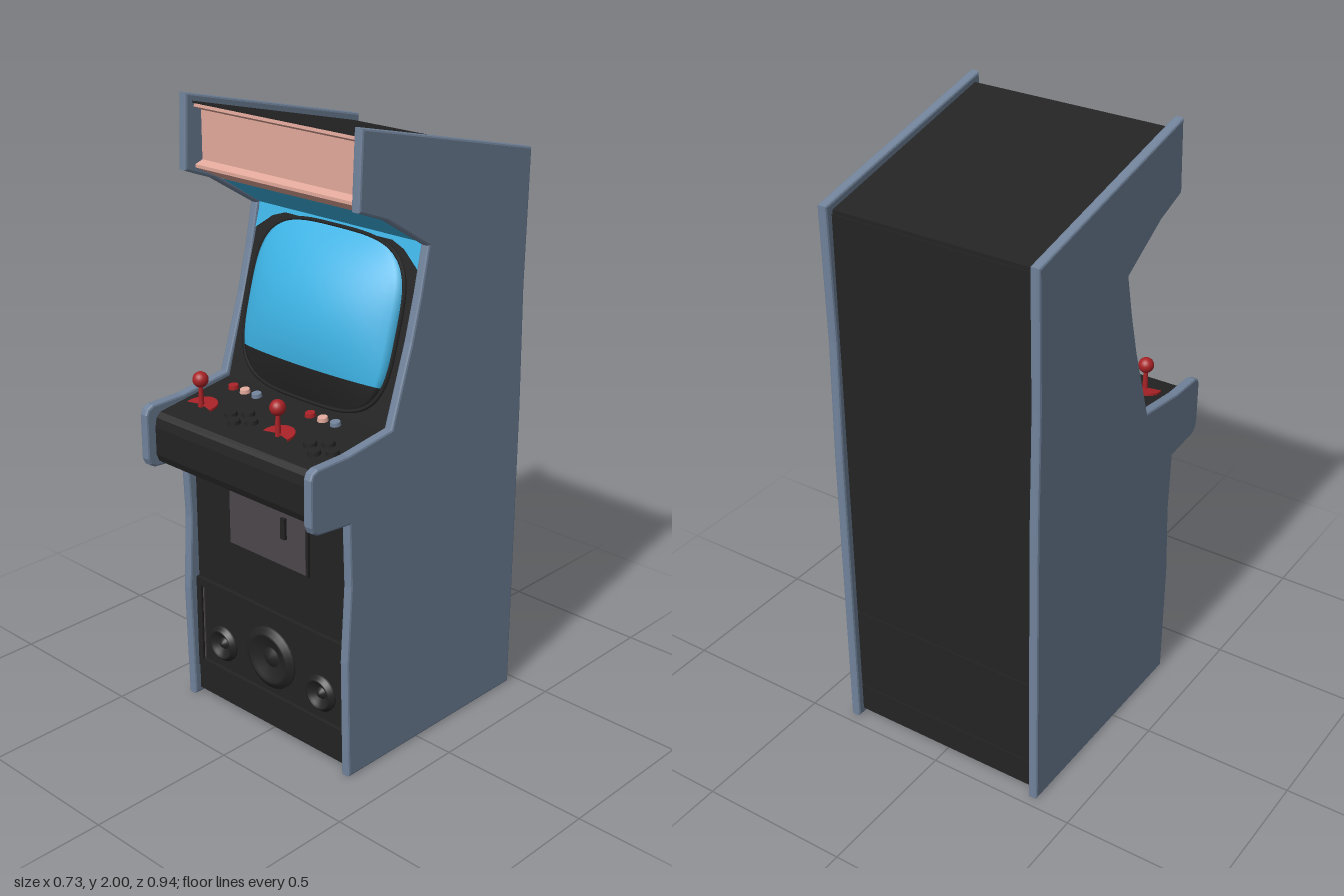
import * as THREE from 'three';
import { ParametricGeometry } from 'three/addons/geometries/ParametricGeometry.js';

const mat = (name, color, side = THREE.FrontSide) => {
  const m = new THREE.MeshStandardMaterial({ color, side });
  m.name = name;
  return m;
};

export function createModel() {
  const slate = mat('slate', 0x70829a);
  const black = mat('black', 0x232323);
  const blue = mat('screenBlue', 0x3cb1e2, THREE.DoubleSide);
  const pink = mat('salmonPink', 0xe2a89b);
  const red = mat('red', 0xa82226);
  const grey = mat('doorGrey', 0x4b464b);
  const root = new THREE.Group();
  root.name = 'arcadeCabinet';

  const add = (name, geo, material, pos = [0, 0, 0], parent = root) => {
    const mesh = new THREE.Mesh(geo, material);
    mesh.name = name;
    mesh.position.set(...pos);
    parent.add(mesh);
    return mesh;
  };
  const box = (name, w, h, d, material, pos, parent) =>
    add(name, new THREE.BoxGeometry(w, h, d), material, pos, parent);

  // Extrudes a [z, y] outline along x, centred on x = 0
  const extrudeX = (points, width, bevel = 0) => {
    const shape = new THREE.Shape(points.map(([z, y]) => new THREE.Vector2(z, y)));
    const geo = new THREE.ExtrudeGeometry(shape, {
      depth: width - 2 * bevel, bevelEnabled: bevel > 0, bevelSize: bevel,
      bevelThickness: bevel, bevelOffset: -bevel, bevelSegments: 2,
    });
    geo.translate(0, 0, -(width - 2 * bevel) / 2);
    return geo.rotateY(-Math.PI / 2);
  };

  // Side panels
  const sideOutline = [
    [-0.468, 0], [0.317, 0], [0.325, 0.4], [0.31, 0.65], [0.318, 0.856],
    [0.447, 0.868], [0.467, 0.88], [0.475, 0.9], [0.475, 1.045], [0.467, 1.063], [0.447, 1.073],
    [0.325, 1.075], [0.14, 1.1], [0.06, 1.345], [0.025, 1.48], [-0.005, 1.62],
    [0.17, 1.727], [0.285, 1.77], [0.274, 2], [-0.468, 1.83], [-0.46, 1.4], [-0.468, 1],
  ];
  for (const s of [1, -1])
    add(s > 0 ? 'leftSidePanel' : 'rightSidePanel', extrudeX(sideOutline, 0.032, 0.007), slate, [s * 0.35, 0, 0]);

  // Body between the panels, with control deck and hood
  add('body', extrudeX([
    [-0.44, 0.015], [0.285, 0.015], [0.285, 0.872], [0.41, 0.872], [0.432, 0.885], [0.442, 0.91],
    [0.442, 1.0], [0.436, 1.03], [0.42, 1.045], [0.13, 1.085], [-0.02, 1.62], [0.14, 1.73],
    [0.2, 1.79], [0.2, 1.955], [0.25, 1.967], [0.25, 1.973], [-0.44, 1.812],
  ], 0.674), black);

  // Marquee trough and the ceiling above the screen
  add('marquee', extrudeX([
    [0.19, 1.953], [0.252, 1.967], [0.253, 1.958], [0.225, 1.945], [0.225, 1.797],
    [0.253, 1.787], [0.253, 1.777], [0.14, 1.722], [0.14, 1.735], [0.19, 1.79],
  ], 0.65), pink);
  add('hoodCeiling', extrudeX([[0.14, 1.73], [0.14, 1.722], [-0.022, 1.618], [-0.022, 1.626]], 0.672), blue);

  // Leaning screen assembly: local y runs up the bezel
  const screen = new THREE.Group();
  screen.name = 'screen';
  screen.position.set(0, 1.085, 0.13);
  screen.rotation.x = -Math.atan2(0.15, 0.535);
  root.add(screen);
  const P = 3.6, midY = 0.276, halfY = 0.268, halfX = 0.307;
  const dome = (from, to) => new ParametricGeometry((u, v, p) => {
    const t = 0.999 * Math.sin(THREE.MathUtils.lerp(Math.asin(from), Math.asin(to), v));
    const a = 2 * u - 1;
    const w = Math.pow(1 - Math.pow(Math.abs(t), P), 1 / P);
    p.set(a * w * halfX, midY + t * halfY, 0.004 + 0.085 * (1 - t * t) * Math.pow(Math.max(0, 1 - a * a), 0.7));
  }, 28, 20);
  add('screenGlass', dome(-0.6, 1), blue, [0, 0, 0], screen);
  add('screenLowerLip', dome(-1, -0.6), black, [0, 0, 0], screen);

  const rim = [];
  for (let i = 0; i < 48; i++) {
    const a = (i / 48) * Math.PI * 2, c = Math.cos(a), s = Math.sin(a);
    rim.push(new THREE.Vector3(
      Math.sign(c) * Math.pow(Math.abs(c), 2 / P) * halfX,
      midY + Math.sign(s) * Math.pow(Math.abs(s), 2 / P) * halfY, 0.003));
  }
  add('screenRim', new THREE.TubeGeometry(new THREE.CatmullRomCurve3(rim, true), 96, 0.007, 6, true), black, [0, 0, 0], screen);

  // Blue strip and corner flashes at the top of the bezel
  box('bezelTopStrip', 0.672, 0.014, 0.006, blue, [0, 0.55, 0.003], screen);
  for (const s of [1, -1]) {
    const corner = new THREE.Shape([[0.336, 0.55], [0.2, 0.55], [0.27, 0.525], [0.336, 0.475]]
      .map(([x, y]) => new THREE.Vector2(s * x, y)));
    add('bezelCorner', new THREE.ShapeGeometry(corner), blue, [0, 0, 0.004], screen);
  }

  // Controls stand on the sloping deck
  const tilt = Math.atan2(0.04, 0.29);
  const deckY = (z) => 1.045 + (0.42 - z) * (0.04 / 0.29);
  const button = (name, x, z, r, material) => {
    const b = add(name, new THREE.CylinderGeometry(r * 0.85, r, 0.016, 20), material, [x, deckY(z) + 0.004, z]);
    b.rotation.x = tilt;
  };
  for (const x of [-0.252, 0.083]) {
    const z = 0.325;
    const plate = add('joystickPlate',
      new THREE.CylinderGeometry(0.052, 0.052, 0.008, 28, 1, false, Math.PI * 0.42, Math.PI * 1.16),
      red, [x, deckY(z) + 0.003, z]);
    plate.rotation.x = tilt;
    add('joystickShaft', new THREE.CylinderGeometry(0.006, 0.01, 0.09, 12), red, [x, 1.1, z]);
    add('joystickBall', new THREE.SphereGeometry(0.025, 20, 14), red, [x, 1.146, z]);
    for (const [dx, bz] of [[0.167, 0.285], [0.122, 0.315], [0.212, 0.315], [0.167, 0.345]])
      button('actionButton', x + dx, bz, 0.022, black);
    [red, pink, slate].forEach((m, i) => button('startButton', x - 0.005 + i * 0.052, 0.185, 0.018, m));
  }

  // Coin door
  box('coinDoorFrame', 0.345, 0.225, 0.012, black, [0, 0.72, 0.288]);
  box('coinDoor', 0.33, 0.21, 0.016, grey, [0, 0.72, 0.29]);
  box('coinDoorHandle', 0.018, 0.07, 0.014, black, [0.078, 0.745, 0.301]);

  // Speaker panel frame and kick plate
  for (const y of [0.42, 0.12]) box('speakerFrameRail', 0.672, 0.028, 0.02, black, [0, y, 0.288]);
  for (const s of [1, -1]) {
    box('speakerFrameStile', 0.024, 0.28, 0.02, black, [s * 0.325, 0.27, 0.288]);
    box('speakerFrameTrim', 0.004, 0.27, 0.006, grey, [s * 0.311, 0.27, 0.287]);
  }
  box('kickPlate', 0.672, 0.085, 0.012, black, [0, 0.06, 0.288]);

  // Speakers: lathed cones turned to the front
  for (const [x, y, r] of [[0, 0.262, 0.105], [-0.22, 0.225, 0.06], [0.22, 0.225, 0.06]]) {
    const profile = [[0, 0.016], [0.18, 0.012], [0.3, 0.002], [0.34, 0.002], [0.68, 0.014],
      [0.74, 0.02], [0.84, 0.02], [0.88, 0.01], [1, 0.008], [1, 0]]
      .map(([k, h]) => new THREE.Vector2(k * r, h)).reverse();
    const geo = new THREE.LatheGeometry(profile, 32).rotateX(Math.PI / 2);
    add('speaker', geo, black, [x, y, 0.285]);
  }

  // Back covers, leaving thin seams
  for (const [y0, y1] of [[0.02, 0.115], [0.121, 0.42], [0.426, 1.8]])
    box('backCover', 0.672, y1 - y0, 0.006, black, [0, (y0 + y1) / 2, -0.441]);

  return root;
}
